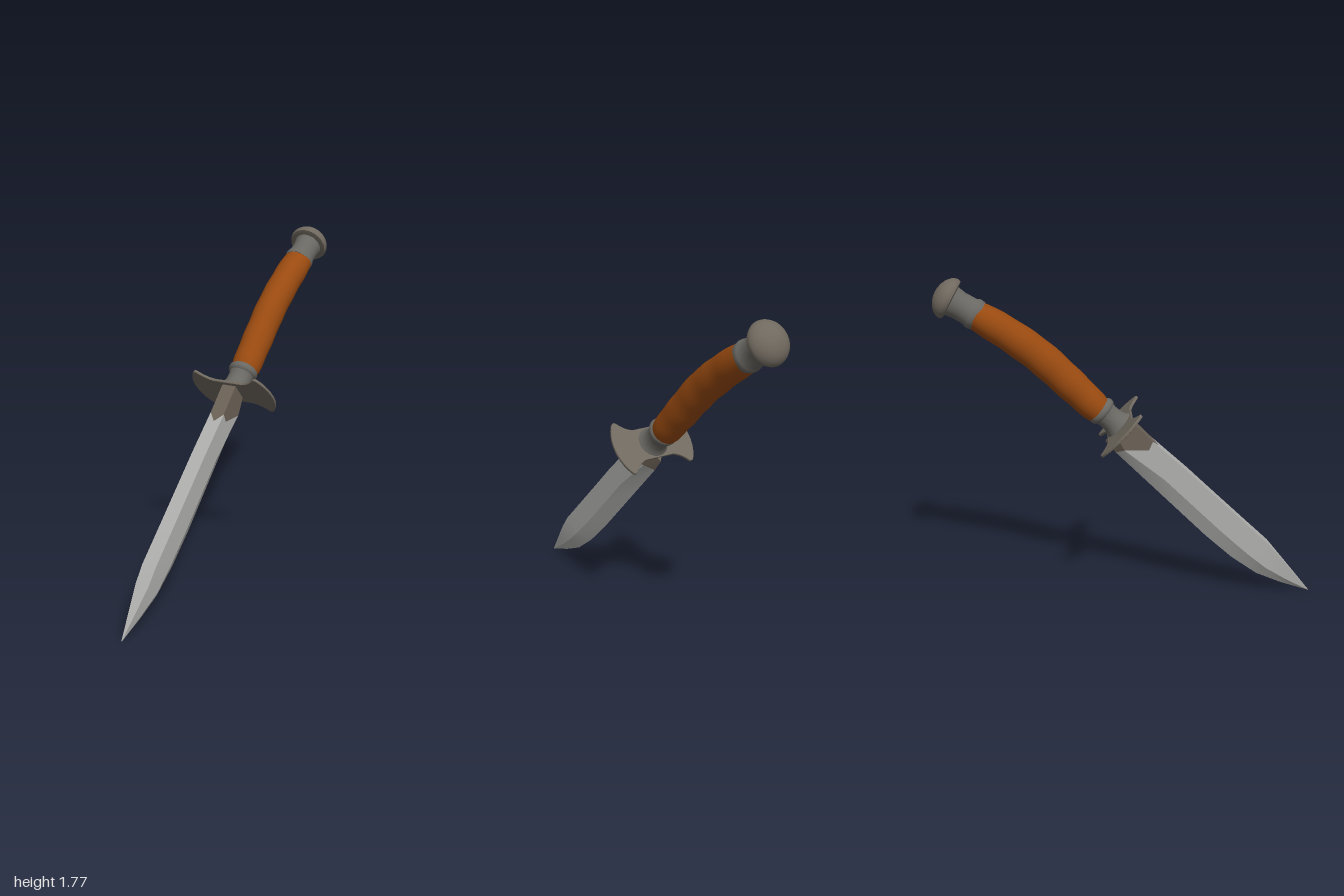
import * as THREE from 'three';
import { toCreasedNormals } from 'three/addons/utils/BufferGeometryUtils.js';

const mat = (name, color) => {
  const m = new THREE.MeshStandardMaterial({ color });
  m.name = name;
  return m;
};

// Skin a list of equal-length closed loops of Vector3, capping both ends.
function loft(loops, crease) {
  const n = loops[0].length, pos = [], index = [];
  loops.forEach(l => l.forEach(p => pos.push(p.x, p.y, p.z)));
  for (let i = 0; i < loops.length - 1; i++) {
    for (let j = 0; j < n; j++) {
      const k = (j + 1) % n, a = i * n + j, b = i * n + k;
      index.push(a, a + n, b, b, a + n, b + n);
    }
  }
  const last = (loops.length - 1) * n;
  for (let j = 1; j < n - 1; j++) {
    index.push(0, j, j + 1, last, last + j + 1, last + j);
  }
  const g = new THREE.BufferGeometry();
  g.setAttribute('position', new THREE.Float32BufferAttribute(pos, 3));
  g.setIndex(index);
  return toCreasedNormals(g, crease);
}

// Blade cross-section: spine centre, spine corner, upper flat, ridge, edge, then mirrored.
// Each point is [z, y]; t is half the thickness.
function section(pts, t) {
  const v = (x, p) => new THREE.Vector3(x, p[1], p[0]);
  const [c, s, u, r, b] = pts;
  return [v(0, c), v(t, s), v(t, u), v(t, r), v(0, b), v(-t, r), v(-t, u), v(-t, s)];
}
function plainSection(top, bottom, t) {
  const mix = f => [top[0] + (bottom[0] - top[0]) * f, top[1] + (bottom[1] - top[1]) * f];
  return section([top, top, mix(0.2), mix(0.6), bottom], t);
}

export function createModel() {
  const steel = mat('blade steel', 0xb0b0ae);
  const ricassoMetal = mat('dark brown metal', 0x6c6257);
  const fittingMetal = mat('guard and pommel metal', 0x70695f);
  const collarMetal = mat('collar metal', 0x6a6863);
  const wood = mat('orange brown grip', 0x994a10);

  const model = new THREE.Group();
  model.name = 'dagger';
  const add = (name, geometry, material) => {
    const mesh = new THREE.Mesh(geometry, material);
    mesh.name = name;
    model.add(mesh);
    return mesh;
  };

  // Blade and the darker ricasso share one notched boundary section
  const boundary = section([[0.15, 0.875], [0.115, 0.908], [0.095, 0.862], [-0.035, 0.862], [-0.08, 0.84]], 0.04);
  add('ricasso', loft([
    plainSection([-0.015, 1.04], [-0.135, 0.905], 0.04),
    boundary,
  ], 0.3), ricassoMetal);
  add('blade', loft([
    boundary,
    plainSection([0.30, 0.74], [0.10, 0.66], 0.04),
    plainSection([0.46, 0.586], [0.27, 0.49], 0.04),
    plainSection([0.62, 0.433], [0.41, 0.35], 0.04),
    plainSection([0.76, 0.30], [0.56, 0.215], 0.04),
    plainSection([0.82, 0.225], [0.70, 0.115], 0.038),
    plainSection([0.91, 0.115], [0.84, 0.055], 0.02),
    plainSection([1.0, 0.004], [0.998, 0.002], 0.001),
  ], 0.3), steel);

  // Bow-tie guard plate
  const shape = new THREE.Shape();
  shape.moveTo(-0.085, 0.09);
  shape.lineTo(-0.085, 0.09);
  shape.quadraticCurveTo(-0.13, 0.10, -0.165, 0.143);
  shape.quadraticCurveTo(-0.18, 0.16, -0.196, 0.138);
  shape.bezierCurveTo(-0.25, 0.06, -0.25, -0.06, -0.196, -0.138);
  shape.quadraticCurveTo(-0.18, -0.16, -0.165, -0.143);
  shape.quadraticCurveTo(-0.13, -0.10, -0.085, -0.09);
  shape.lineTo(0.085, -0.09);
  shape.quadraticCurveTo(0.13, -0.10, 0.165, -0.143);
  shape.quadraticCurveTo(0.18, -0.16, 0.196, -0.138);
  shape.bezierCurveTo(0.25, -0.06, 0.25, 0.06, 0.196, 0.138);
  shape.quadraticCurveTo(0.18, 0.16, 0.165, 0.143);
  shape.quadraticCurveTo(0.13, 0.10, 0.085, 0.09);
  const plate = new THREE.ExtrudeGeometry(shape, {
    depth: 0.008, bevelThickness: 0.004, bevelSize: 0.004, bevelOffset: -0.004, bevelSegments: 2, curveSegments: 10,
  });
  plate.translate(0, 0, -0.004);
  const guard = add('guard', plate, fittingMetal);
  guard.position.set(0, 0.987, -0.058);
  guard.rotation.x = 0.757;

  // Turned fittings along the handle axis
  const turned = (name, profile, z, y, dz, dy, material) => {
    const g = new THREE.LatheGeometry(profile.map(p => new THREE.Vector2(...p)), 40);
    const mesh = add(name, toCreasedNormals(g, 0.7), material);
    mesh.position.set(0, y, z);
    mesh.quaternion.setFromUnitVectors(new THREE.Vector3(0, 1, 0), new THREE.Vector3(0, dy, dz).normalize());
  };
  turned('bolster', [[0, 0], [0.088, 0], [0.073, 0.02], [0.065, 0.05], [0.064, 0.085], [0.068, 0.105],
    [0.077, 0.112], [0.08, 0.125], [0.077, 0.14], [0.06, 0.155], [0, 0.155]],
  -0.06, 0.987, -0.74, 0.67, collarMetal);
  turned('pommelNeck', [[0, 0], [0.078, 0], [0.081, 0.02], [0.079, 0.036], [0.073, 0.045], [0.072, 0.11],
    [0.08, 0.155], [0, 0.16]],
  -0.775, 1.582, -0.857, 0.515, collarMetal);
  turned('pommel', [[0, -0.012], [0.085, -0.018], [0.104, -0.014], [0.11, 0], [0.107, 0.015], [0.096, 0.035],
    [0.076, 0.054], [0.05, 0.067], [0.025, 0.074], [0, 0.076]],
  -0.917, 1.672, -0.87, 0.49, fittingMetal);

  // Curved oval grip with gentle swells
  const path = new THREE.CatmullRomCurve3([
    [-0.17, 1.076], [-0.324, 1.23], [-0.475, 1.374], [-0.64, 1.497], [-0.8, 1.597],
  ].map(([z, y]) => new THREE.Vector3(0, y, z)));
  const rings = [], steps = 30, sides = 32;
  for (let i = 0; i <= steps; i++) {
    const t = i / steps, c = path.getPointAt(t), d = path.getTangentAt(t);
    const ease = 1 - 0.08 * Math.pow(Math.abs(2 * t - 1), 12);
    const wave = 0.0012 * Math.sin(t * Math.PI * 10);
    const rx = (0.08 + 0.005 * t) * ease + wave;
    const ry = (0.08 + 0.009 * Math.sin(Math.PI * t) - 0.002 * t) * ease + wave;
    rings.push(Array.from({ length: sides }, (_, j) => {
      const a = j / sides * Math.PI * 2, s = Math.cos(a) * ry;
      return new THREE.Vector3(Math.sin(a) * rx, c.y + d.z * s, c.z - d.y * s);
    }));
  }
  add('grip', loft(rings, 0.8), wood);

  return model;
}
